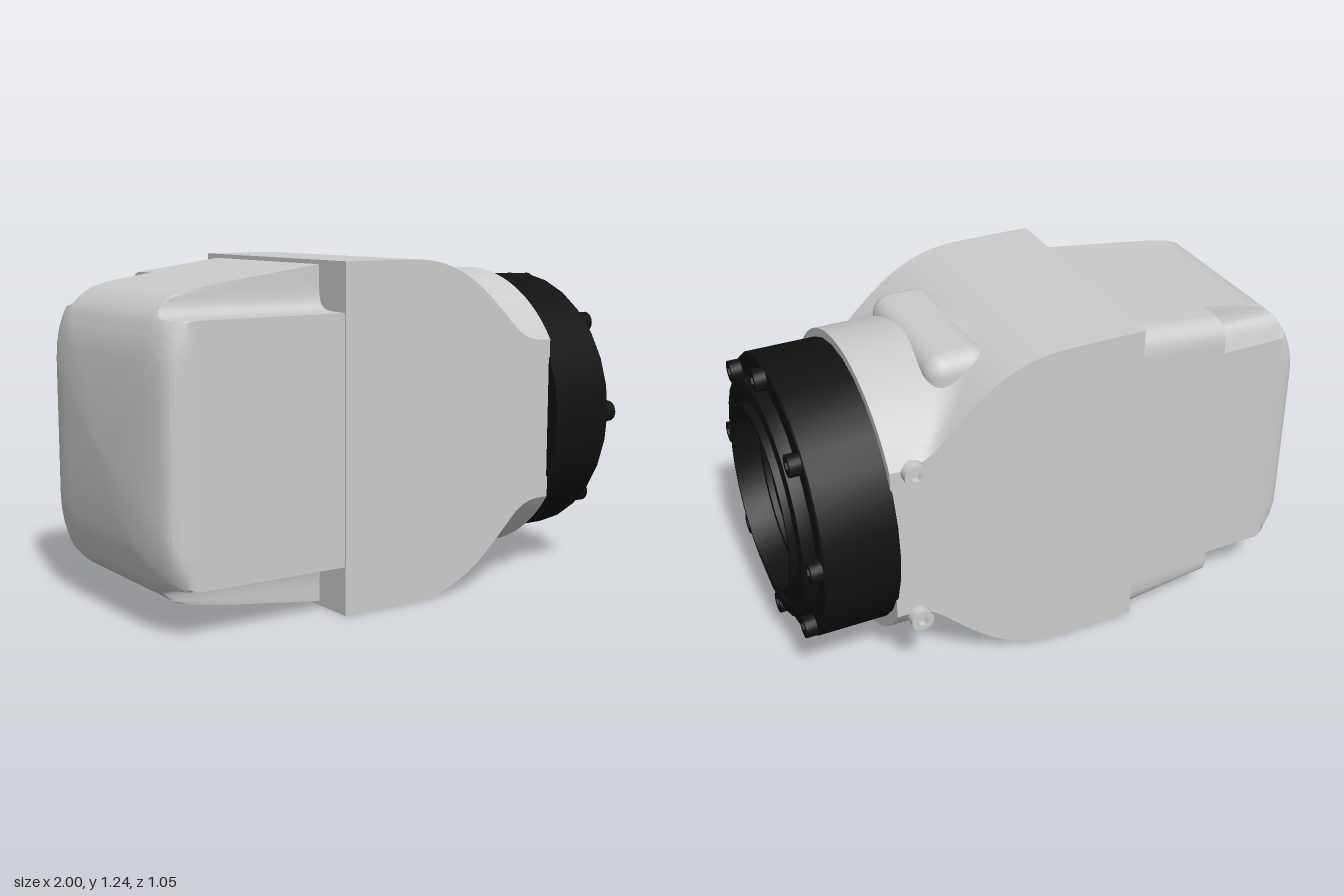
import * as THREE from 'three';
import { toCreasedNormals } from 'three/addons/utils/BufferGeometryUtils.js';
import { RoundedBoxGeometry } from 'three/addons/geometries/RoundedBoxGeometry.js';

const CY = 0.625;      // height of the main axis, which runs along x
const HALF = 0.47;     // half thickness of the housing
const NECK_R = 0.56;   // radius of the round neck

const grey = new THREE.MeshStandardMaterial({ color: 0xcccccc });
const black = new THREE.MeshStandardMaterial({ color: 0x111111 });

function addMesh(parent, name, geometry, material) {
  const m = new THREE.Mesh(geometry, material);
  m.name = name;
  parent.add(m);
  return m;
}

// Skin closed rings (listed along +x, each turning from y towards z) and cap both ends
function loft(rings) {
  const n = rings[0].length, pos = [], idx = [];
  rings.forEach(ring => ring.forEach(p => pos.push(p.x, p.y, p.z)));
  for (let i = 0; i < rings.length - 1; i++) {
    for (let j = 0; j < n; j++) {
      const a = i * n + j, b = i * n + (j + 1) % n;
      idx.push(a, b, b + n, a, b + n, a + n);
    }
  }
  [0, rings.length - 1].forEach((r, end) => {
    const c = pos.length / 3;
    pos.push(rings[r][0].x, CY, 0);
    for (let j = 0; j < n; j++) {
      const a = r * n + j, b = r * n + (j + 1) % n;
      end ? idx.push(c, a, b) : idx.push(c, b, a);
    }
  });
  const g = new THREE.BufferGeometry();
  g.setAttribute('position', new THREE.Float32BufferAttribute(pos, 3));
  g.setIndex(idx);
  return toCreasedNormals(g, 0.5);
}

// Housing: a tall curved block blending into a round neck, cut flat at both sides
function housingGeometry() {
  const curve = new THREE.SplineCurve([
    [0, 0.62], [0.1, 0.613], [0.2, 0.585], [0.3, 0.532], [0.4, 0.45],
    [0.5, 0.355], [0.56, 0.305], [0.62, 0.26], [0.67, 0.22],
  ].map(p => new THREE.Vector2(...p)));
  const stations = [new THREE.Vector2(-0.28, 0.62), ...curve.getPoints(36)];
  const k = 0.05, N = 40;
  return loft(stations.map(s => {
    const top = [], bottom = [];
    for (let j = 0; j <= N; j++) {
      const z = HALF * (2 * j / N - 1);
      const round = Math.sqrt(NECK_R ** 2 - z * z);
      const blend = Math.max(0, k - Math.abs(round - s.y)) ** 2 / (4 * k);
      const h = s.x < 0.05 ? s.y : Math.max(round, s.y) + blend;
      top.push(new THREE.Vector3(s.x, CY + h, z));
      bottom.unshift(new THREE.Vector3(s.x, CY - h, z));
    }
    return [...top, ...bottom];
  }));
}

// Rear cover: rounded box section with bolt channels cut into its corners
function coverGeometry() {
  const zi = 0.305, yi = 0.445, SEG = 9; // inner corner of the channels

  // distance from the axis to the rounded rectangle in direction phi
  const outer = (Y, Z, r, phi) => {
    const s = Math.sin(phi), c = Math.cos(phi);
    const t = Math.min(Z / Math.max(s, 1e-6), Y / Math.max(c, 1e-6));
    if (t * s <= Z - r || t * c <= Y - r) return t;
    const d = s * (Z - r) + c * (Y - r);
    return d + Math.sqrt(Math.max(0, d * d - (Z - r) ** 2 - (Y - r) ** 2 + r * r));
  };
  const channel = phi => {
    const a = zi / Math.max(Math.sin(phi), 1e-4), b = yi / Math.max(Math.cos(phi), 1e-4);
    const m = Math.max(a, b);
    return m * ((a / m) ** 14 + (b / m) ** 14) ** (1 / 14);
  };

  const ring = (x, Y, Z, backCut) => {
    const round = THREE.MathUtils.smoothstep(-x, 0.82, 0.95);
    const r = Math.min(0.07 + 0.07 * round, 0.6 * Math.min(Y, Z));
    const p2 = Math.atan2(zi, yi);
    const keys = [0, Math.min(Math.atan2(zi, Y), p2 - 0.03), p2,
      Math.max(Math.atan2(Z, yi), p2 + 0.03), Math.PI / 2];
    const phis = [];
    for (let k = 0; k < 4; k++)
      for (let i = 0; i < SEG; i++) phis.push(THREE.MathUtils.lerp(keys[k], keys[k + 1], i / SEG));
    phis.push(Math.PI / 2);
    const pts = [];
    [[1, 1], [-1, 1], [-1, -1], [1, -1]].forEach(([sy, sz], q) => {
      const list = q % 2 ? [...phis].reverse() : phis;
      list.slice(0, -1).forEach(phi => {
        let t = outer(Y, Z, r, phi);
        if (sz > 0 || backCut) t = Math.min(t, channel(phi));
        pts.push(new THREE.Vector3(x, CY + sy * t * Math.cos(phi), sz * t * Math.sin(phi)));
      });
    });
    return pts;
  };

  const end = new THREE.CatmullRomCurve3([
    [-1, 0.002, 0.002], [-0.993, 0.13, 0.14], [-0.982, 0.25, 0.27], [-0.968, 0.345, 0.36],
    [-0.952, 0.4, 0.415], [-0.93, 0.45, 0.44], [-0.9, 0.485, 0.45], [-0.86, 0.513, 0.455],
    [-0.8, 0.532, 0.457], [-0.62, 0.56, 0.46],
  ].map(p => new THREE.Vector3(...p)), false, 'centripetal').getPoints(54);
  const rings = end.map(p => ring(p.x, p.y, p.z, true));
  rings.push(ring(-0.62, 0.56, 0.46, false), ring(-0.27, 0.606, 0.465, false));
  return loft(rings);
}

// Socket-head bolt pointing along +z from its seat
function bolt(name, radius, height, material) {
  const g = new THREE.Group();
  g.name = name;
  const shape = new THREE.Shape().absarc(0, 0, radius, 0, Math.PI * 2);
  const hex = Array.from({ length: 6 }, (_, i) => new THREE.Vector2(
    0.55 * radius * Math.cos(i * Math.PI / 3), 0.55 * radius * Math.sin(i * Math.PI / 3)));
  shape.holes.push(new THREE.Path(hex));
  const head = new THREE.ExtrudeGeometry(shape, { depth: height, bevelEnabled: false, curveSegments: 10 });
  addMesh(g, name + 'Head', toCreasedNormals(head, 0.7), material);
  const core = new THREE.CylinderGeometry(radius * 0.7, radius * 0.7, 0.06, 16).rotateX(Math.PI / 2);
  addMesh(g, name + 'Shank', core, material).position.z = height * 0.35 - 0.03;
  return g;
}

export function createModel() {
  const model = new THREE.Group();
  model.name = 'jointHousing';

  addMesh(model, 'housing', housingGeometry(), grey);
  addMesh(model, 'rearCover', coverGeometry(), grey);

  // Raised pad on top of the neck
  const pad = addMesh(model, 'topPad', new RoundedBoxGeometry(0.24, 0.22, 0.6, 5, 0.07), grey);
  pad.position.set(0.33, 1.093, -0.005);

  // Black output flange with raised rings and a recessed centre
  const profile = [
    [0, 0.665], [0.525, 0.665], [0.525, 0.93], [0.52, 0.936], [0.445, 0.936], [0.44, 0.98],
    [0.395, 0.985], [0.39, 0.972], [0.355, 0.972], [0.35, 1], [0.335, 1], [0.33, 0.9],
    [0.3, 0.9], [0.295, 0.88], [0, 0.88],
  ].map(p => new THREE.Vector2(...p));
  const flange = addMesh(model, 'outputFlange',
    toCreasedNormals(new THREE.LatheGeometry(profile, 30), 0.5), black);
  flange.rotation.z = -Math.PI / 2;
  flange.position.y = CY + 0.005;

  // Ring of flange bolts
  for (let i = 0; i < 8; i++) {
    const a = i * Math.PI / 4;
    const b = bolt('flangeBolt', 0.04, 0.042, black);
    b.rotation.y = Math.PI / 2;
    b.position.set(0.935, CY + 0.005 + 0.483 * Math.cos(a), 0.483 * Math.sin(a));
    model.add(b);
  }

  // Two bolts standing out of the back face
  for (const y of [0.925, 0.312]) {
    const b = bolt('backBolt', 0.042, 0.04, grey);
    b.rotation.y = Math.PI;
    b.position.set(0.592, y, -0.477);
    model.add(b);
  }
  return model;
}
